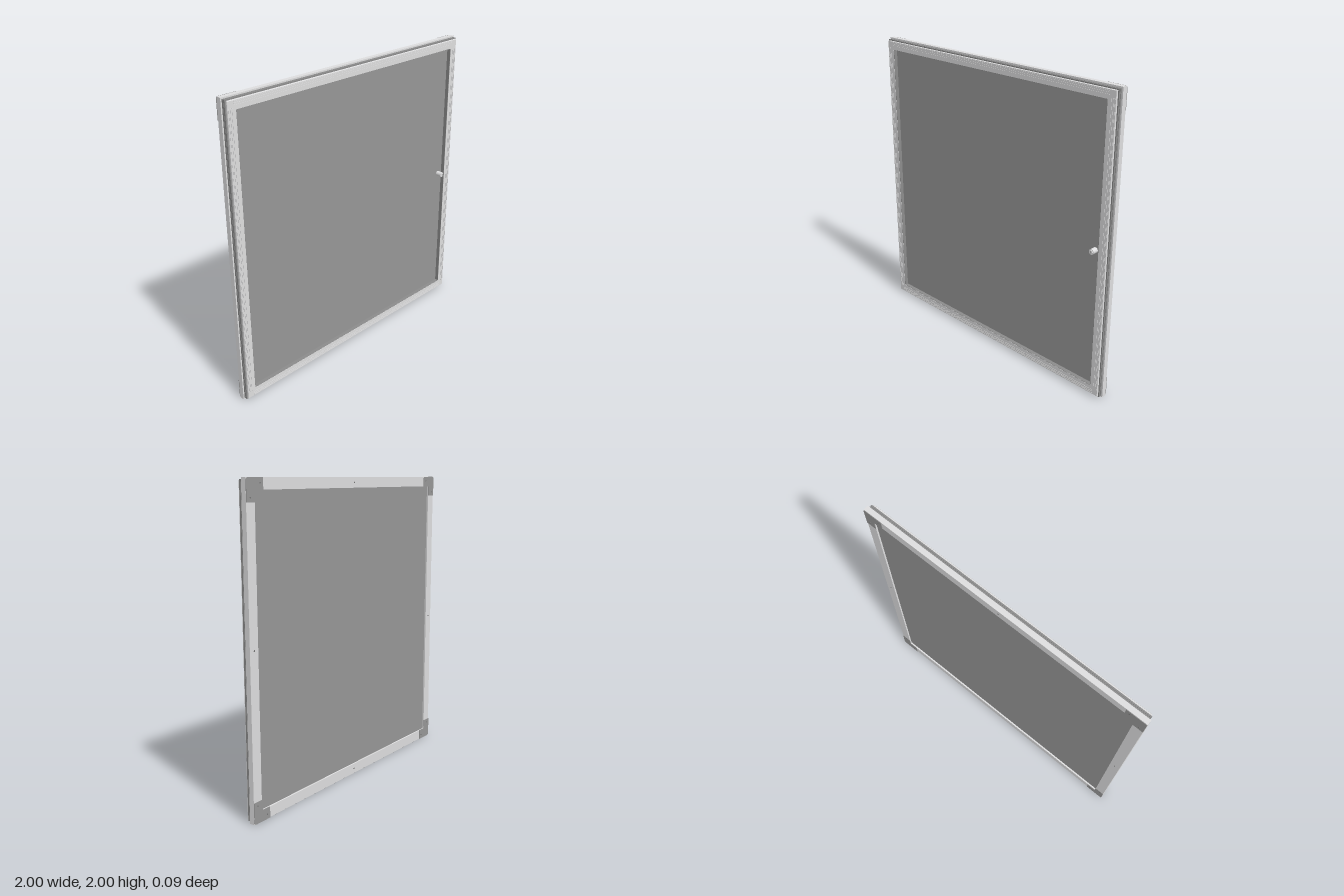
import * as THREE from 'three';

const mat = (name, color) => {
  const m = new THREE.MeshStandardMaterial({ color });
  m.name = name;
  return m;
};

// Sweep a closed profile of [inset, z] points around the square outline, with mitred corners
function squareFrame(profile) {
  const corners = [[1, -1], [1, 1], [-1, 1], [-1, -1]];
  const pos = [];
  const at = ([cx, cy], [d, z]) => [cx * (1 - d), 1 + cy * (1 - d), z];
  corners.forEach((a, i) => {
    const b = corners[(i + 1) % 4];
    profile.forEach((p, j) => {
      const q = profile[(j + 1) % profile.length];
      pos.push(...at(a, p), ...at(b, p), ...at(b, q), ...at(a, p), ...at(b, q), ...at(a, q));
    });
  });
  const g = new THREE.BufferGeometry();
  g.setAttribute('position', new THREE.Float32BufferAttribute(pos, 3));
  g.computeVertexNormals();
  return g;
}

export function createModel() {
  const model = new THREE.Group();
  const aluminium = mat('aluminium', 0xdededf);
  const panelGrey = mat('panelGrey', 0x979797);
  const sealGrey = mat('sealGrey', 0x8c8c8c);
  const capGrey = mat('capGrey', 0x979797);
  const screwGrey = mat('screwGrey', 0x757575);

  const add = (name, geometry, material, x = 0, y = 0, z = 0) => {
    const m = new THREE.Mesh(geometry, material);
    m.name = name;
    m.position.set(x, y, z);
    model.add(m);
    return m;
  };

  // Rear housing
  add('rearFrame', squareFrame([
    [0, -0.041], [0, -0.008], [0.068, -0.008], [0.068, -0.042], [0.001, -0.042],
  ]), aluminium);

  // Dark gasket band between housing and door
  add('gasket', squareFrame([
    [0.009, -0.008], [0.009, 0.002], [0.012, 0.002], [0.012, 0.005],
    [0.009, 0.005], [0.009, 0.015], [0.07, 0.015], [0.07, -0.008],
  ]), sealGrey);

  // Door frame around the opening
  add('doorFrame', squareFrame([
    [0.016, 0.015], [0.016, 0.025], [0.018, 0.027],
    [0.073, 0.027], [0.073, 0.015],
  ]), aluminium);

  // Fine ribs along each side of the door frame, stopping short of the corners
  const ribGeo = new THREE.BoxGeometry(1.88, 0.004, 0.002);
  for (const d of [0.025, 0.035, 0.047]) {
    for (let i = 0; i < 4; i++) {
      const a = i * Math.PI / 2;
      const rib = add('doorRib', ribGeo, aluminium,
        Math.sin(a) * (1 - d), 1 + Math.cos(a) * (1 - d), 0.028);
      rib.rotation.z = -a;
    }
  }

  // Dark lining inside the opening
  add('openingSeal', squareFrame([
    [0.072, -0.008], [0.072, 0.026], [0.075, 0.026], [0.075, -0.008],
  ]), sealGrey);

  // Panel filling the frame, recessed on both faces
  add('panel', new THREE.BoxGeometry(1.87, 1.87, 0.031), panelGrey, 0, 1, -0.0155);

  // L-shaped corner caps on the back, each with two screws
  const L = 0.135, w = 0.07, r = 0.015;
  const s = new THREE.Shape();
  s.moveTo(r, 0);
  s.lineTo(L, 0);
  s.lineTo(L, w);
  s.lineTo(w, w);
  s.lineTo(w, L);
  s.lineTo(0, L);
  s.lineTo(0, r);
  s.quadraticCurveTo(0, 0, r, 0);
  const capGeo = new THREE.ExtrudeGeometry(s, { depth: 0.004, bevelEnabled: false, curveSegments: 6 });
  const screwGeo = new THREE.CylinderGeometry(0.005, 0.005, 0.002, 12).rotateX(Math.PI / 2);
  [[-1, 0], [1, 0], [1, 2], [-1, 2]].forEach(([x, y], i) => {
    const cap = add('cornerCap', capGeo, capGrey, x, y, -0.0455);
    cap.rotation.z = i * Math.PI / 2;
    const sx = -Math.sign(x), sy = y ? -1 : 1;
    [[0.11, 0.03], [0.03, 0.11]].forEach(([dx, dy]) =>
      add('capScrew', screwGeo, screwGrey, x + sx * dx, y + sy * dy, -0.0452));
  });

  // Small screws midway along each side
  [[0.965, 1.04], [-0.965, 0.96], [0, 1.965], [0, 0.035]].forEach(([x, y]) =>
    add('sideScrew', screwGeo, screwGrey, x, y, -0.0425));

  // Door lock: collar, barrel and key slot
  const disc = (rad, h) => new THREE.CylinderGeometry(rad, rad, h, 24).rotateX(Math.PI / 2);
  add('lockCollar', disc(0.018, 0.042), aluminium, 0.885, 1, 0.019);
  add('lockBarrel', disc(0.012, 0.006), aluminium, 0.885, 1, 0.042);
  add('keySlot', new THREE.BoxGeometry(0.003, 0.014, 0.001), screwGrey, 0.885, 1, 0.0453);

  return model;
}
